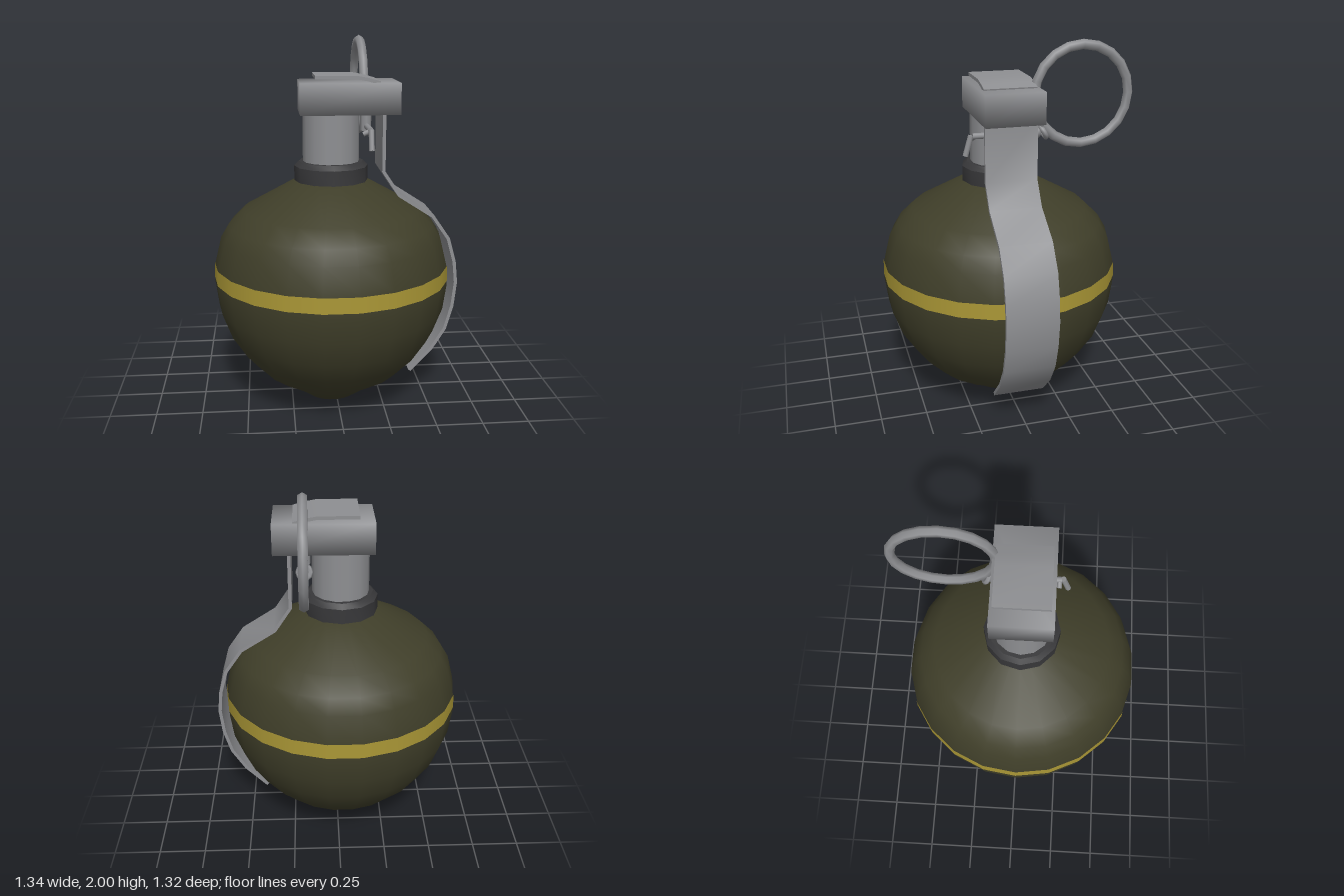
import * as THREE from 'three';
import { mergeVertices, toCreasedNormals } from 'three/addons/utils/BufferGeometryUtils.js';

const V2 = (p) => new THREE.Vector2(p[0], p[1]);
const CX = -0.023, CZ = 0.013; // axis of the round body

export function createModel() {
  const group = new THREE.Group();
  const mat = (name, color) => {
    const m = new THREE.MeshStandardMaterial({ color });
    m.name = name;
    return m;
  };
  const olive = mat('olive', 0x3f3e29);
  const yellow = mat('yellow', 0xa89535);
  const steel = mat('steel', 0x8e8f92);
  const dark = mat('darkMetal', 0x38383a);

  const add = (name, geometry, material, x = 0, y = 0, z = 0) => {
    const mesh = new THREE.Mesh(geometry, material);
    mesh.name = name;
    mesh.position.set(x, y, z);
    group.add(mesh);
    return mesh;
  };

  // Turned parts, with a facet corner on the x axis
  const turned = (name, profile, sides, material, crease) => {
    let g = new THREE.LatheGeometry(profile.map(V2), sides);
    if (crease) g = toCreasedNormals(g, crease);
    g.rotateY(Math.PI / 2);
    return add(name, g, material, CX, 0, CZ);
  };

  turned('body', [
    [0, 0], [0.145, 0], [0.245, 0.075], [0.39, 0.165], [0.495, 0.275], [0.575, 0.4],
    [0.627, 0.54], [0.646, 0.68], [0.641, 0.79], [0.605, 0.935], [0.56, 1.01],
    [0.478, 1.09], [0.2, 1.245], [0, 1.245],
  ], 22, olive);
  turned('bodyBand', [[0.648, 0.708], [0.645, 0.79]], 22, yellow);
  turned('collar', [
    [0, 1.24], [0.2, 1.24], [0.2, 1.325], [0.175, 1.35], [0, 1.35],
  ], 12, dark, 0.7);
  turned('neck', [[0.153, 1.34], [0.153, 1.62]], 14, steel);

  // Head block, shaded softly over its corners
  const softBox = (w, h, d) => {
    const g = new THREE.BoxGeometry(w, h, d);
    g.deleteAttribute('normal');
    g.deleteAttribute('uv');
    const merged = mergeVertices(g);
    merged.computeVertexNormals();
    return merged;
  };
  add('head', softBox(0.525, 0.165, 0.31), steel, 0.0675, 1.6925, 0.015);

  // Bent sheet: a path thickened to its right-hand side and extruded across z
  const sheet = (name, path, thick, z0, z1) => {
    const pts = path.map(V2);
    const inner = pts.map((p, i) => {
      const a = pts[Math.max(i - 1, 0)], b = pts[Math.min(i + 1, pts.length - 1)];
      const t = b.clone().sub(a).normalize();
      return new THREE.Vector2(p.x + t.y * thick, p.y - t.x * thick);
    });
    const shape = new THREE.Shape([...pts, ...inner.reverse()]);
    const g = new THREE.ExtrudeGeometry(shape, { depth: z1 - z0, bevelEnabled: false });
    return add(name, toCreasedNormals(g, 0.9), steel, 0, 0, z0);
  };
  sheet('leverTop', [[-0.115, 1.811], [0.1, 1.811], [0.16, 1.8], [0.225, 1.782]], 0.018, -0.125, 0.152);
  sheet('lever', [
    [0.255, 1.63], [0.255, 1.31], [0.338, 1.185], [0.525, 1.065], [0.615, 0.935],
    [0.653, 0.8], [0.665, 0.68], [0.65, 0.54], [0.612, 0.405], [0.535, 0.28], [0.415, 0.155],
  ], 0.018, -0.122, 0.155);

  // Pull ring standing in the yz plane
  const ring = add('pullRing', new THREE.TorusGeometry(0.256, 0.026, 6, 20), steel, 0.17, 1.72, -0.382);
  ring.rotation.y = Math.PI / 2;

  // Safety pin: rod, eye around the ring and two bent legs
  const rod = (name, a, b, r) => {
    const from = new THREE.Vector3(...a), to = new THREE.Vector3(...b);
    const dir = to.clone().sub(from);
    const mesh = add(name, new THREE.CylinderGeometry(r, r, dir.length(), 8), steel);
    mesh.position.copy(from).add(to).multiplyScalar(0.5);
    mesh.quaternion.setFromUnitVectors(new THREE.Vector3(0, 1, 0), dir.normalize());
  };
  rod('pin', [0.168, 1.535, -0.15], [0.168, 1.535, 0.2], 0.016);
  rod('pinLegLong', [0.17, 1.54, 0.208], [0.17, 1.435, 0.238], 0.015);
  rod('pinLegShort', [0.165, 1.53, 0.19], [0.13, 1.515, 0.19], 0.013);
  const eye = add('pinEye', new THREE.TorusGeometry(0.032, 0.014, 6, 10), steel, 0.168, 1.535, -0.175);
  eye.rotation.x = 0.5;
  add('pinBoss', new THREE.SphereGeometry(0.035, 8, 6), steel, 0.165, 1.535, -0.135);
  rod('pinLug', [0.165, 1.62, 0.01], [0.165, 1.51, 0.01], 0.03);

  return group;
}
